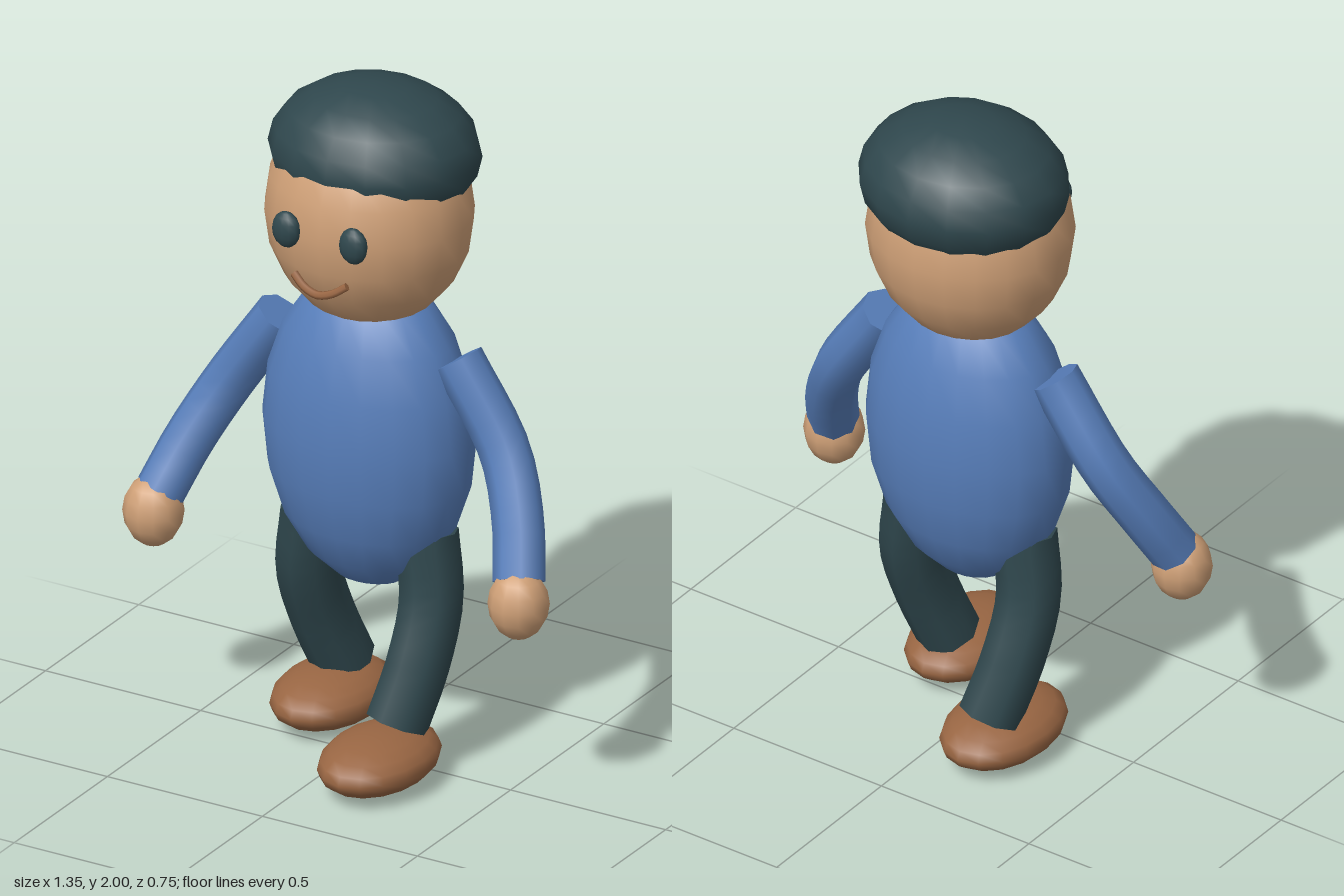
import * as THREE from 'three';
import { mergeGeometries } from 'three/addons/utils/BufferGeometryUtils.js';

function material(name, color) {
  const m = new THREE.MeshStandardMaterial({ color });
  m.name = name;
  return m;
}

// Bent limb: a tube along a smooth curve, closed by a flat fan at each end
function limbGeometry(points, radius, rows, sides) {
  const curve = new THREE.CatmullRomCurve3(points.map(p => new THREE.Vector3(...p)));
  const tube = new THREE.TubeGeometry(curve, rows, radius, sides);
  const ring = tube.attributes.position;
  const cap = (row, center, flip) => {
    const pos = [];
    for (let j = 0; j < sides; j++) {
      const a = row * (sides + 1) + j + (flip ? 1 : 0);
      const b = row * (sides + 1) + j + (flip ? 0 : 1);
      pos.push(...center.toArray());
      for (const k of [a, b]) pos.push(ring.getX(k), ring.getY(k), ring.getZ(k));
    }
    const g = new THREE.BufferGeometry();
    g.setAttribute('position', new THREE.Float32BufferAttribute(pos, 3));
    g.computeVertexNormals();
    return g;
  };
  const body = tube.toNonIndexed();
  body.deleteAttribute('uv');
  return mergeGeometries([body, cap(0, curve.getPoint(0), false), cap(rows, curve.getPoint(1), true)]);
}

export function createModel() {
  const model = new THREE.Group();
  model.name = 'walkingFigure';

  const skin = material('skin', 0xcfa077);
  const blue = material('blueShirt', 0x577eba);
  const dark = material('darkTeal', 0x2f474d);
  const brown = material('brown', 0x996643);

  const add = (name, geometry, mat) => {
    const mesh = new THREE.Mesh(geometry, mat);
    mesh.name = name;
    model.add(mesh);
    return mesh;
  };
  const ellipsoid = (name, center, radii, mat, sides = 16, rows = 10) => {
    const mesh = add(name, new THREE.SphereGeometry(1, sides, rows), mat);
    mesh.position.set(...center);
    mesh.scale.set(...radii);
    return mesh;
  };

  // Torso, head and cap
  ellipsoid('torso', [0, 0.97, -0.075], [0.32, 0.48, 0.225], blue, 20);
  ellipsoid('head', [0, 1.63, -0.075], [0.3, 0.335, 0.275], skin, 20);
  ellipsoid('cap', [0, 1.8, -0.105], [0.308, 0.2, 0.27], dark);

  // Smile
  add('mouth', limbGeometry(
    [[-0.085, 1.513, 0.188], [-0.045, 1.486, 0.2], [0, 1.474, 0.205], [0.045, 1.486, 0.2], [0.085, 1.513, 0.188]],
    0.012, 12, 6), brown);

  for (const s of [1, -1]) {
    const side = s > 0 ? 'left' : 'right';
    ellipsoid(side + 'Eye', [s * 0.108, 1.644, 0.192], [0.044, 0.054, 0.027], dark, 12, 8);

    // Arm and hand
    add(side + 'Arm', limbGeometry(
      [[s * 0.285, 1.235, -0.075], [s * 0.445, 1.0, -0.06], [s * 0.53, 0.83, 0.01], [s * 0.578, 0.69, 0.085]],
      0.073, 10, 8), blue);
    ellipsoid(side + 'Hand', [s * 0.589, 0.635, 0.105], [0.087, 0.105, 0.085], skin, 12, 8);

    // Leg in mid-stride and shoe: left steps forward, right trails
    const stride = s > 0
      ? [-0.08, -0.06, 0.0, 0.06]
      : [-0.07, -0.09, -0.155, -0.22];
    add(side + 'Leg', limbGeometry(
      [[s * 0.18, 0.68, stride[0]], [s * 0.208, 0.49, stride[1]], [s * 0.2, 0.31, stride[2]], [s * 0.17, 0.15, stride[3]]],
      0.092, 10, 8), dark);
    ellipsoid(side + 'Shoe', [s * 0.168, 0.08, s * 0.152], [0.152, 0.08, 0.222], brown);
  }

  return model;
}
